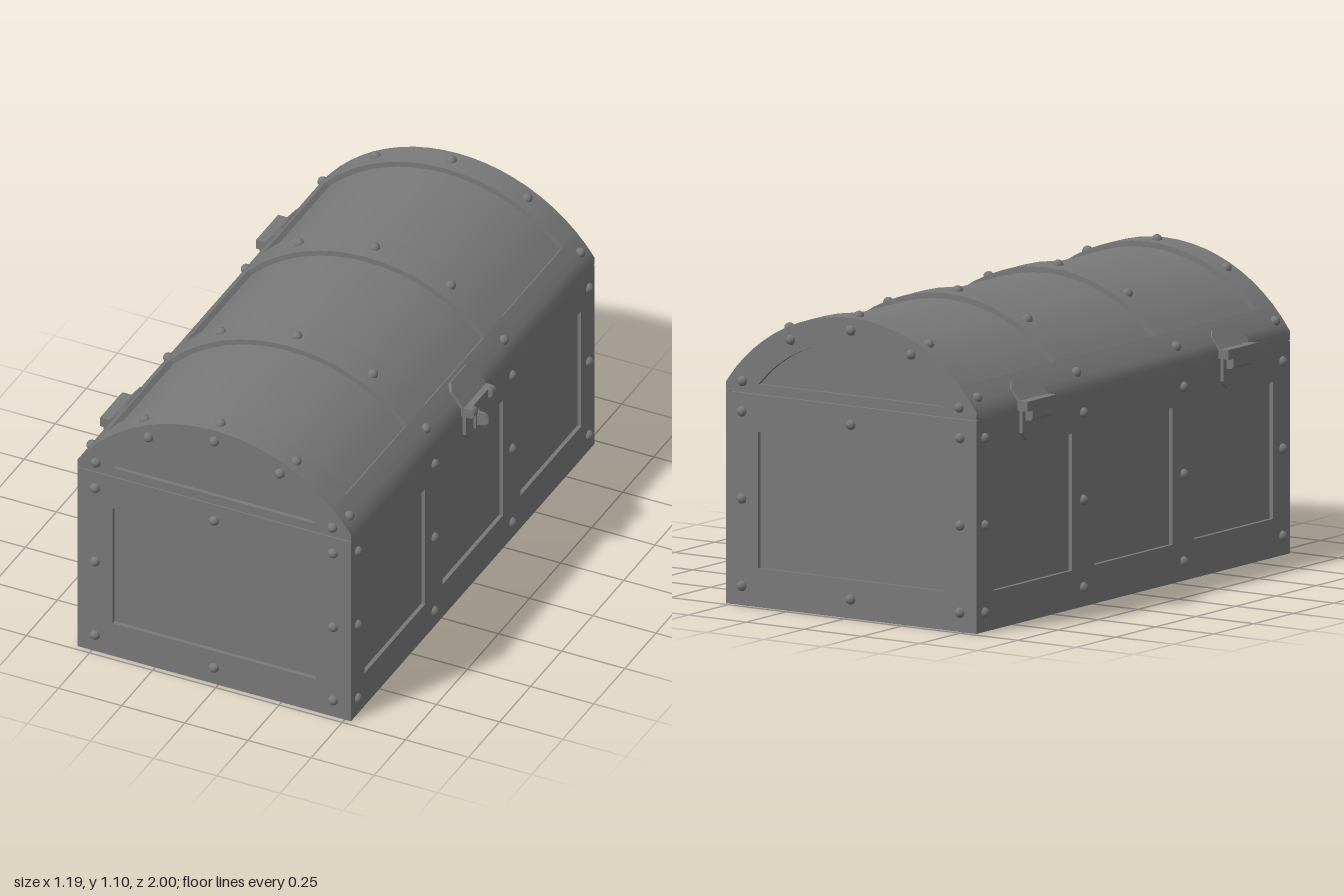
import * as THREE from 'three';
import { toCreasedNormals } from 'three/addons/utils/BufferGeometryUtils.js';

const W = 0.541, L = 0.98, SEAM = 0.768, T = 0.015;   // half width, half length, seam height, frame thickness
const R = 0.656, CY = 0.429, STEP = 0.02;             // lid arc radius, arc centre height, lid recess
const A_EDGE = Math.asin(W / R), A_PANEL = Math.asin(0.47 / R);
const BAYS = [-0.628, 0, 0.628], BAY = 0.245;         // panel centres and half length
const BANDS = [-0.93, -0.313, 0.313, 0.93];           // rivet rows along the length

const material = new THREE.MeshStandardMaterial({ color: 0x797979 });

function add(parent, name, geometry, x = 0, y = 0, z = 0) {
  const mesh = new THREE.Mesh(geometry, material);
  mesh.name = name;
  mesh.position.set(x, y, z);
  parent.add(mesh);
  return mesh;
}

function poly(points) {
  return new THREE.Shape(points.map(([x, y]) => new THREE.Vector2(x, y)));
}

const rect = (x0, x1, y0, y1) => poly([[x0, y0], [x1, y0], [x1, y1], [x0, y1]]);

function extrude(shape, depth, holes = [], crease = 0.4) {
  shape.holes.push(...holes);
  return toCreasedNormals(new THREE.ExtrudeGeometry(shape, { depth, bevelEnabled: false }), crease);
}

// Points on an arc measured from straight up, from angle a to angle b
function arc(r, a, b, cy = CY, n = 16) {
  return Array.from({ length: n + 1 }, (_, i) => {
    const t = a + (b - a) * i / n;
    return [r * Math.sin(t), cy + r * Math.cos(t)];
  });
}

// Plate with two chamfered corners at its far end
function plate(halfWidth, height, chamfer, depth) {
  const h = halfWidth, c = chamfer;
  return extrude(poly([[-h, 0], [h, 0], [h, height - c], [h - c, height], [c - h, height], [-h, height - c]]), depth);
}

function createBody() {
  const body = new THREE.Group();
  body.name = 'body';
  add(body, 'bodyCore', new THREE.BoxGeometry(2 * (W - T), 0.757, 2 * (L - T)), 0, T + 0.757 / 2, 0);
  // Raised frames around the sunken panels
  for (const s of [1, -1]) {
    const side = add(body, 'sideFrame',
      extrude(rect(-L, L, 0, SEAM), T, BAYS.map(z => rect(z - BAY, z + BAY, 0.14, 0.635))),
      s * (W - T), 0, 0);
    side.rotation.y = s * Math.PI / 2;
    const end = add(body, 'endFrame',
      extrude(rect(T - W, W - T, 0, SEAM - 0.002), T, [rect(-0.402, 0.402, 0.14, 0.632)]),
      0, 0, s * (L - T));
    if (s < 0) end.rotation.y = Math.PI;
  }
  const bottom = add(body, 'bottomFrame',
    extrude(rect(T - W, W - T, T - L, L - T), T, BAYS.map(z => rect(-0.402, 0.402, z - BAY, z + BAY))), 0, T, 0);
  bottom.rotation.x = Math.PI / 2;
  return body;
}

function createLid() {
  const lid = new THREE.Group();
  lid.name = 'lid';
  // Barrel with a sunken crown, rounded softly into the upright edge
  const barrel = poly([[-W, SEAM], [W, SEAM], ...arc(R, A_EDGE, A_PANEL, CY, 3),
    ...arc(R - STEP, A_PANEL, -A_PANEL), ...arc(R, -A_PANEL, -A_EDGE, CY, 3)]);
  add(lid, 'lidBarrel', extrude(barrel, 2 * (L - T), [], 0.8), 0, 0, T - L);
  // Raised bands between the crown panels
  const edges = [T - L, ...BAYS.flatMap(z => [z - BAY, z + BAY]), L - T];
  for (let i = 0; i < edges.length; i += 2) {
    const band = poly([...arc(R, A_PANEL, -A_PANEL), ...arc(R - STEP - 0.005, -A_PANEL, A_PANEL)]);
    add(lid, 'lidBand', extrude(band, edges[i + 1] - edges[i]), 0, 0, edges[i]);
  }
  // End plates with a sunken arched panel
  const a = Math.asin(0.4 / 0.525);
  for (const z of [L - T, -L]) {
    const outline = poly([[-W, SEAM + 0.002], [W, SEAM + 0.002], ...arc(R, A_EDGE, -A_EDGE, CY, 22)]);
    add(lid, 'lidEndFrame', extrude(outline, T, [poly(arc(0.525, a, -a, 0.465))], 0.8), 0, 0, z);
  }
  return lid;
}

function createRivets() {
  const rivets = new THREE.Group();
  rivets.name = 'rivets';
  const ball = new THREE.SphereGeometry(0.019, 12, 8);
  const rivet = (x, y, z) => add(rivets, 'rivet', ball, x, y, z);
  for (const s of [1, -1]) {
    for (const y of [0.07, 0.385, 0.7]) {
      for (const z of BANDS) rivet(s * W, y, z);
      for (const x of [-0.471, 0, 0.471]) if (x || y !== 0.385) rivet(x, y, s * L);
    }
    for (const [x, y] of [[-0.468, 0.81], [-0.26, 0.98], [0, 1.04], [0.26, 0.98], [0.468, 0.81]]) rivet(x, y, s * L);
  }
  for (const z of BANDS) {
    for (const t of [-0.89, -0.475, 0, 0.475, 0.89]) rivet(R * Math.sin(t), CY + R * Math.cos(t), z);
  }
  // Single rivet inside the middle bottom panel
  rivet(0, 0.019, 0);
  return rivets;
}

// Sloped lid leaf and lower leaf shared by latch and hinges; local +z points away from the chest
function createLeaves(name, length, thickness) {
  const g = new THREE.Group();
  g.name = name;
  const upper = add(g, 'upperLeaf', plate(0.09, length, 0.025, thickness), 0, 0.799, 0);
  upper.rotation.x = -0.676;
  const lower = add(g, 'lowerLeaf', plate(0.078, 0.115, 0.03, 0.015), 0, 0.77, 0.013);
  lower.rotation.x = Math.PI;
  return g;
}

function createLatch() {
  const g = createLeaves('latch', 0.1, 0.014);
  add(g, 'latchBar', new THREE.BoxGeometry(0.12, 0.036, 0.034), 0, 0.789, 0.017);
  for (const s of [1, -1]) {
    // Rounded knuckles either side of the bar
    add(g, 'latchKnuckle', new THREE.BoxGeometry(0.032, 0.036, 0.036), s * 0.074, 0.789, 0.018);
    add(g, 'latchPin', new THREE.CylinderGeometry(0.018, 0.018, 0.032, 12), s * 0.074, 0.789, 0.034).rotation.z = Math.PI / 2;
  }
  // Slotted hasp with the staple passing through
  add(g, 'hasp', extrude(rect(-0.018, 0.018, 0.68, 0.768), 0.012, [rect(-0.01, 0.01, 0.688, 0.755)]), 0, 0, 0.012);
  add(g, 'staple', new THREE.BoxGeometry(0.01, 0.052, 0.04), 0, 0.718, 0.022);
  add(g, 'stapleTip', new THREE.CylinderGeometry(0.026, 0.026, 0.01, 16), 0, 0.718, 0.042).rotation.z = Math.PI / 2;
  return g;
}

function createHinge() {
  const g = createLeaves('hinge', 0.08, 0.009);
  add(g, 'hingeBlock', new THREE.BoxGeometry(0.18, 0.036, 0.043), 0, 0.786, 0.0215);
  const hook = poly([[0, 0.73], [0.036, 0.73], [0.043, 0.738], [0.043, 0.78], [0, 0.78]]);
  const knuckle = add(g, 'hingeKnuckle', extrude(hook, 0.12), 0.06, 0, 0);
  knuckle.rotation.y = -Math.PI / 2;
  return g;
}

export function createModel() {
  const chest = new THREE.Group();
  chest.name = 'chest';
  chest.add(createBody(), createLid(), createRivets());
  const latch = createLatch();
  latch.position.set(W, 0, 0.004);
  latch.rotation.y = Math.PI / 2;
  chest.add(latch);
  for (const z of [-0.632, 0.622]) {
    const hinge = createHinge();
    hinge.position.set(-W, 0, z);
    hinge.rotation.y = -Math.PI / 2;
    chest.add(hinge);
  }
  // Latch and hinges stick out unequally, so the box sits slightly off centre
  chest.position.x = -0.016;
  const model = new THREE.Group();
  model.name = 'treasureChest';
  model.add(chest);
  return model;
}
